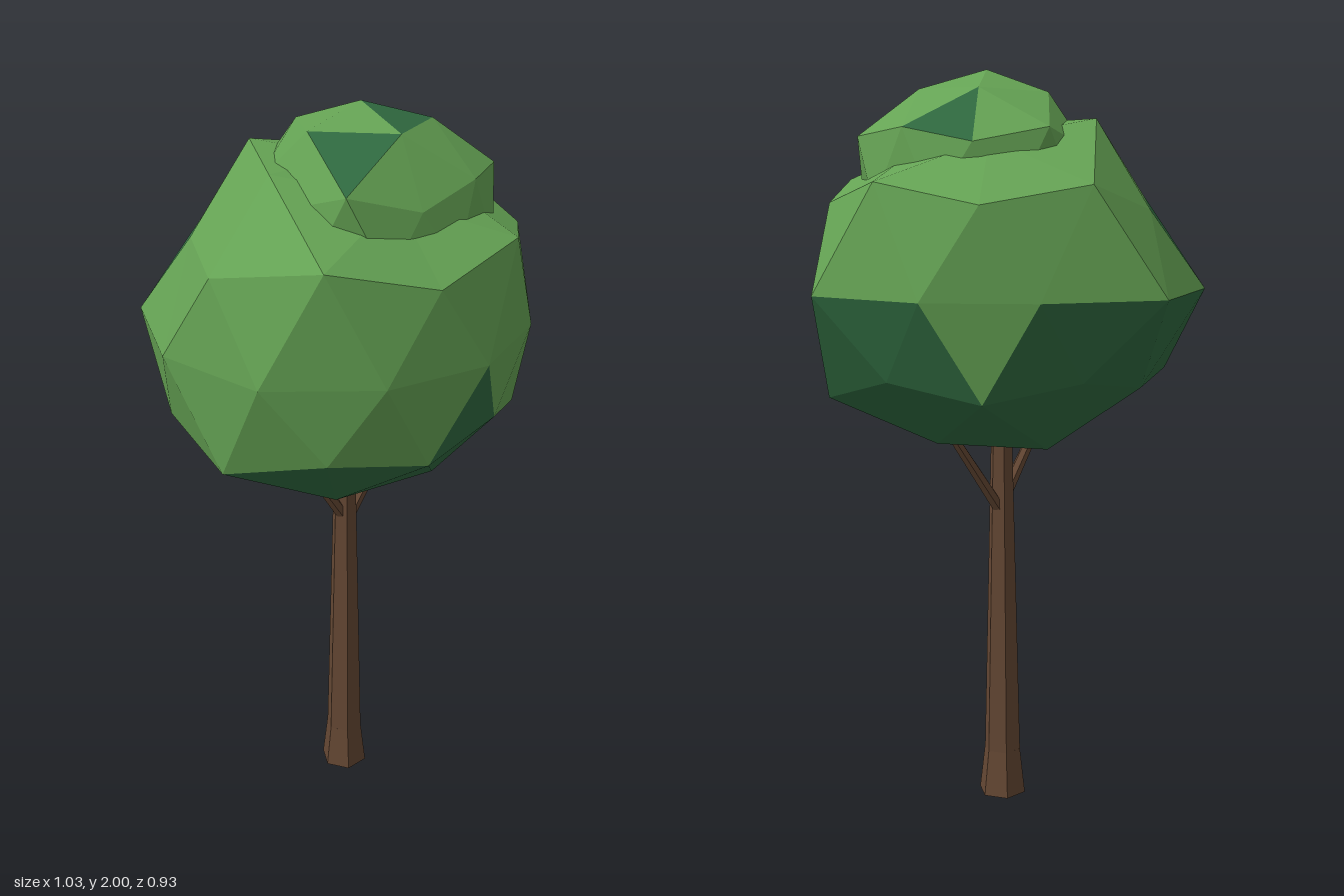
import * as THREE from 'three';

const paint = (name, color) => {
  const m = new THREE.MeshStandardMaterial({ color });
  m.name = name;
  return m;
};

// Latitude (degrees), first angle and step of each ring of a subdivided icosahedron
const RINGS = {
  P: { lat: () => 90, start: 0, step: 0 },
  A: { lat: () => 58.28, start: 0, step: 72 },
  B: { lat: k => (k % 2 ? 31.72 : 26.57), start: 0, step: 36 },
  E: { lat: () => 0, start: 18, step: 36 },
  C: { lat: k => (k % 2 ? -26.57 : -31.72), start: 0, step: 36 },
  D: { lat: () => -58.28, start: 36, step: 72 },
  Q: { lat: () => -90, start: 0, step: 0 },
};

// Faceted leaf ball: one radius per vertex, some faces in a second colour
function leafBall(name, centre, radii, isDark, materials) {
  const point = (ring, k) => {
    const list = radii[ring], i = (k + list.length) % list.length;
    const { lat, start, step } = RINGS[ring];
    const a = THREE.MathUtils.degToRad(lat(i));
    const t = THREE.MathUtils.degToRad(start + step * i);
    return [
      centre[0] + list[i] * Math.cos(a) * Math.cos(t),
      centre[1] + list[i] * Math.sin(a),
      centre[2] - list[i] * Math.cos(a) * Math.sin(t),
    ];
  };
  const light = [], dark = [];
  const face = (kind, k, ...corners) => {
    const target = isDark(kind, k) ? dark : light;
    for (const [ring, i] of corners) target.push(...point(ring, i));
  };
  for (let i = 0; i < 5; i++) {
    // upper cap
    face('crown', i, ['P', 0], ['A', i], ['A', i + 1]);
    face('capRight', i, ['A', i], ['B', 2 * i], ['B', 2 * i + 1]);
    face('capLeft', i, ['A', i], ['B', 2 * i - 1], ['B', 2 * i]);
    face('capDown', i, ['A', i], ['B', 2 * i + 1], ['A', i + 1]);
    // lower cap
    face('under', i, ['C', 2 * i], ['D', i], ['C', 2 * i + 1]);
    face('under', i, ['C', 2 * i + 1], ['D', i], ['C', 2 * i + 2]);
    face('under', i, ['C', 2 * i + 2], ['D', i], ['D', i + 1]);
    face('under', i, ['D', i], ['Q', 0], ['D', i + 1]);
  }
  // middle band
  for (let k = 0; k < 10; k++) {
    face('upperDown', k, ['B', k], ['E', k], ['B', k + 1]);
    face('upperUp', k, ['E', k - 1], ['E', k], ['B', k]);
    face('lowerUp', k, ['E', k], ['C', k], ['C', k + 1]);
    face('lowerDown', k, ['E', k - 1], ['C', k], ['E', k]);
  }
  const geo = new THREE.BufferGeometry();
  geo.setAttribute('position', new THREE.Float32BufferAttribute([...light, ...dark], 3));
  geo.addGroup(0, light.length / 3, 0);
  geo.addGroup(light.length / 3, dark.length / 3, 1);
  geo.computeVertexNormals();
  const mesh = new THREE.Mesh(geo, materials);
  mesh.name = name;
  return mesh;
}

// Tapered six-sided limb between two points
function limb(name, from, to, r0, r1, material) {
  const a = new THREE.Vector3(...from), b = new THREE.Vector3(...to);
  const dir = b.clone().sub(a);
  const geo = new THREE.CylinderGeometry(r1, r0, dir.length(), 6).toNonIndexed();
  geo.computeVertexNormals();
  const mesh = new THREE.Mesh(geo, material);
  mesh.name = name;
  mesh.position.copy(a).add(b).multiplyScalar(0.5);
  mesh.quaternion.setFromUnitVectors(new THREE.Vector3(0, 1, 0), dir.normalize());
  return mesh;
}

export function createModel() {
  const tree = new THREE.Group();
  tree.name = 'tree';
  const bark = paint('bark', 0x644733);
  const leaves = [paint('lightLeaves', 0x65a354), paint('darkLeaves', 0x306a40)];

  // Trunk with flared foot
  tree.add(limb('trunkFoot', [-0.008, 0, 0], [-0.008, 0.13, 0], 0.067, 0.052, bark));
  tree.add(limb('trunk', [-0.008, 0.13, 0], [-0.005, 1.12, 0], 0.052, 0.028, bark));

  // Two branches reaching into the leaves
  tree.add(limb('leftBranch', [0.005, 0.835, -0.01], [0.155, 1.07, -0.08], 0.018, 0.013, bark));
  tree.add(limb('rightBranch', [-0.015, 0.86, 0.01], [-0.135, 1.07, 0.08], 0.018, 0.013, bark));

  // Large leaf ball: dark underneath, with patches climbing the back and left
  const bigDark = {
    upperDown: [4], lowerUp: [0, 1, 2, 3, 4, 8], lowerDown: [1, 3, 4], under: [0, 1, 2, 3, 4],
  };
  tree.add(leafBall('mainLeaves', [0, 1.44, 0], {
    P: [0.42],
    A: [0.42, 0.45, 0.51, 0.51, 0.44],
    B: [0.5, 0.535, 0.516, 0.525, 0.465, 0.46, 0.526, 0.548, 0.49, 0.526],
    E: [0.54, 0.477, 0.465, 0.55, 0.542, 0.514, 0.5, 0.46, 0.46, 0.473],
    C: [0.541, 0.47, 0.48, 0.46, 0.47, 0.52, 0.535, 0.48, 0.475, 0.46],
    D: [0.46, 0.47, 0.43, 0.475, 0.47],
    Q: [0.425],
  }, (kind, k) => (bigDark[kind] || []).includes(k), leaves));

  // Small leaf ball sunk into the top
  const smallDark = { crown: [4], capDown: [3], capLeft: [1] };
  tree.add(leafBall('topLeaves', [0.03, 1.66, 0.02], {
    P: [0.34],
    A: [0.34, 0.34, 0.33, 0.355, 0.355],
    B: [0.38, 0.365, 0.35, 0.365, 0.31, 0.3, 0.3, 0.38, 0.32, 0.35],
    E: [0.33, 0.32, 0.31, 0.31, 0.3, 0.3, 0.3, 0.32, 0.31, 0.33],
    C: Array(10).fill(0.3),
    D: Array(5).fill(0.3),
    Q: [0.3],
  }, (kind, k) => (smallDark[kind] || []).includes(k), leaves));

  return tree;
}
